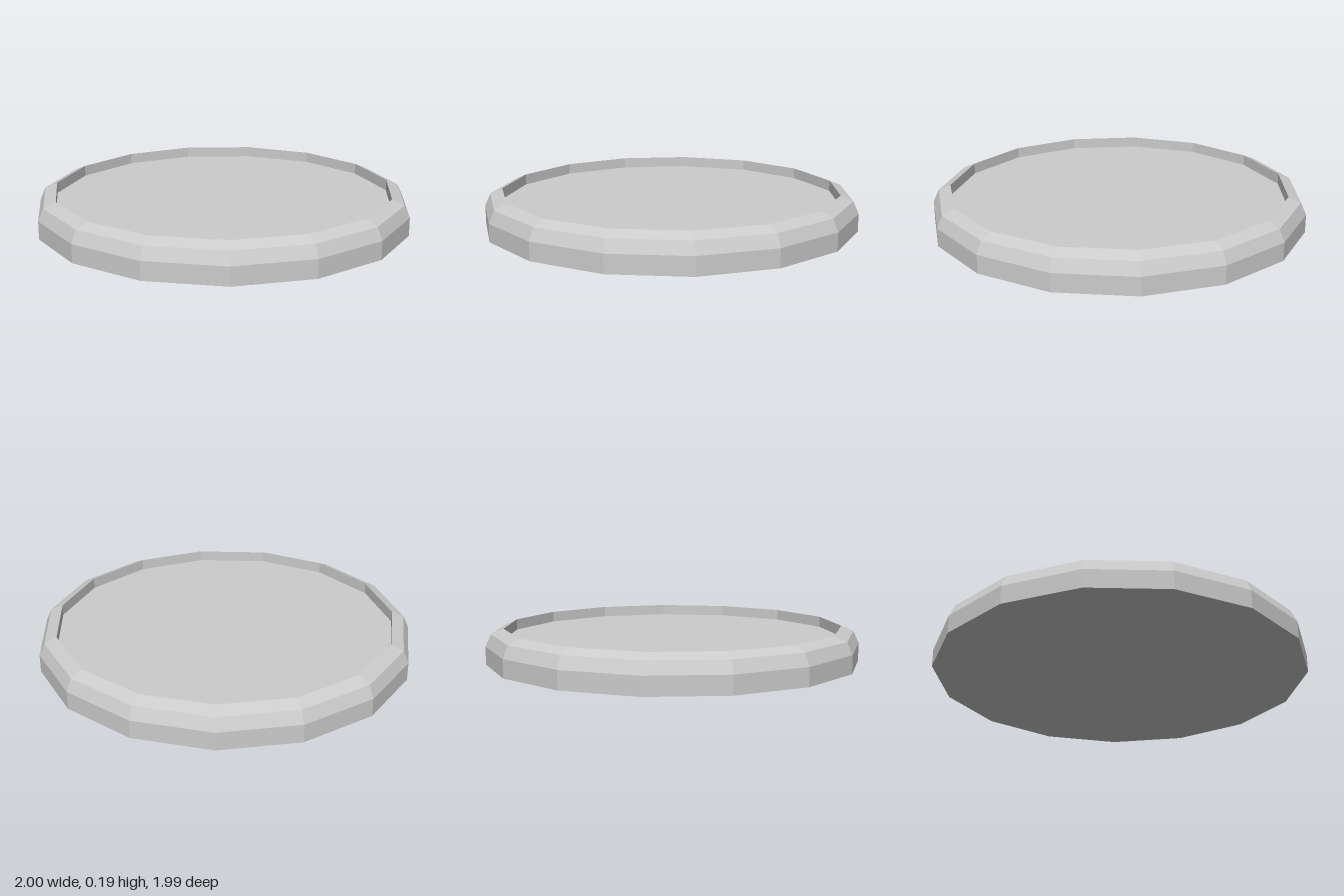
import * as THREE from 'three';

export function createModel() {
  const group = new THREE.Group();
  group.name = 'shallowTray';
  const material = new THREE.MeshStandardMaterial({ color: 0xcccccc, flatShading: true });

  const SIDES = 15;
  const FLOOR_Y = 0.132;
  const INNER_R = 0.91;

  // Revolve a [radius, height] profile with one corner pointing to the back
  function addTurned(name, profile) {
    const points = profile.map(([r, y]) => new THREE.Vector2(r, y));
    const mesh = new THREE.Mesh(new THREE.LatheGeometry(points, SIDES, Math.PI), material);
    mesh.name = name;
    mesh.position.z = 0.011; // an odd number of sides reaches further back than forward
    group.add(mesh);
  }

  // Underside
  addTurned('base', [[0, 0], [1.0055, 0]]);

  // Outer wall, two bevels and the inner wall of the lip
  addTurned('rim', [
    [1.0055, 0], [1.0055, 0.097], [0.976, 0.162], [INNER_R, 0.19], [INNER_R, FLOOR_Y],
  ]);

  // Recessed top surface
  addTurned('recessedFloor', [[INNER_R, FLOOR_Y], [0, FLOOR_Y]]);

  return group;
}
